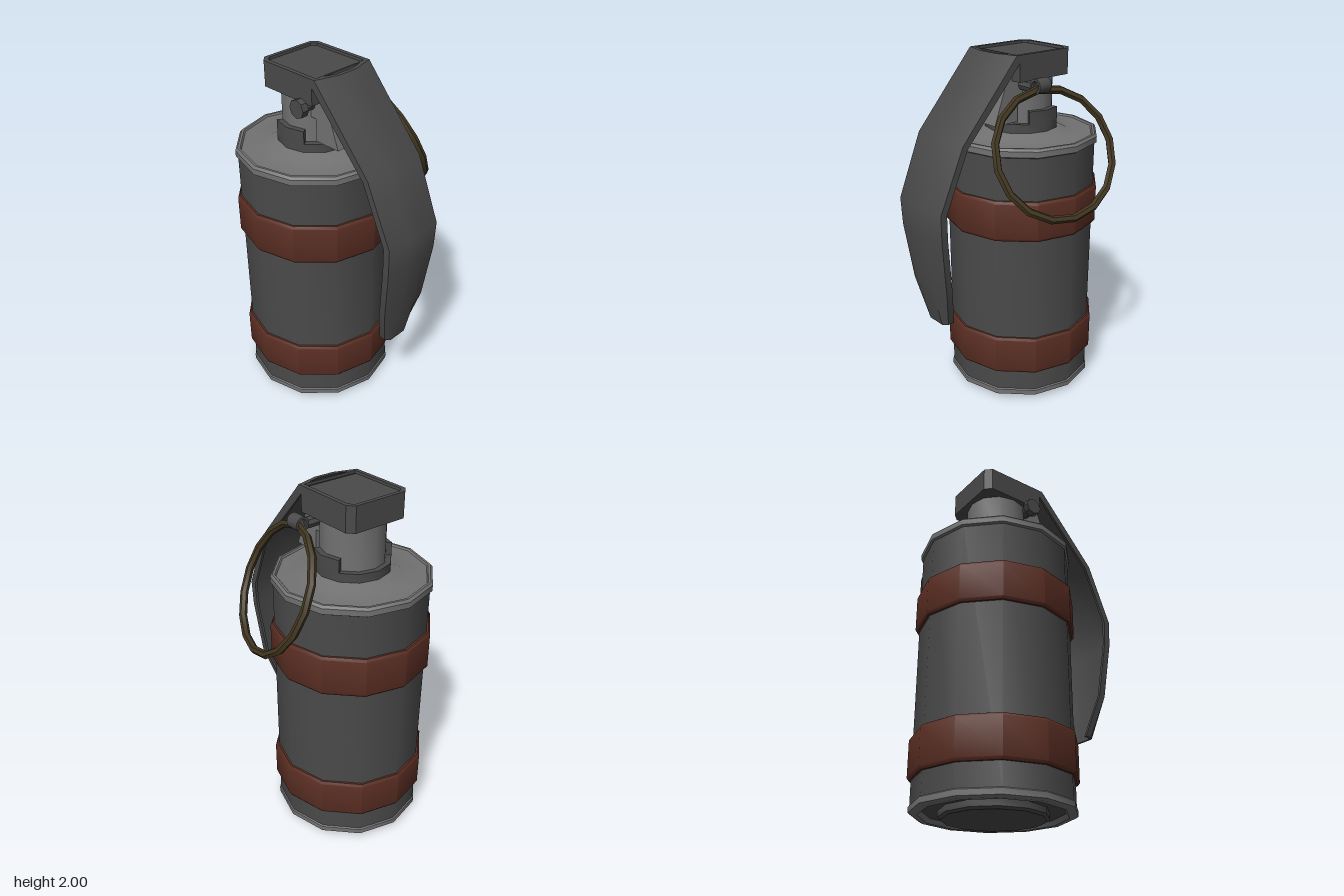
import * as THREE from 'three';
import { toCreasedNormals } from 'three/addons/utils/BufferGeometryUtils.js';

const CX = -0.072, CZ = -0.145; // axis of the canister

const mat = (name, color) => {
  const m = new THREE.MeshStandardMaterial({ color });
  m.name = name;
  return m;
};

export function createModel() {
  const dark = mat('dark grey', 0x4a4a4a);
  const light = mat('light grey', 0x727272);
  const rust = mat('rust band', 0x5a2e23);
  const bronze = mat('dark bronze', 0x40351f);
  const root = new THREE.Group();
  root.name = 'canister';

  const add = (name, geo, material, x = 0, y = 0, z = 0) => {
    const mesh = new THREE.Mesh(toCreasedNormals(geo, 0.6), material);
    mesh.name = name;
    mesh.position.set(x, y, z);
    root.add(mesh);
    return mesh;
  };
  // Twelve-sided turned part on the canister axis, profile as [radius, y] upwards
  const turned = (name, profile, material) =>
    add(name, new THREE.LatheGeometry(profile.map(p => new THREE.Vector2(...p)), 12), material, CX, 0, CZ);
  // Plan outline in [x, z], extruded upwards from y0
  const path = pts => pts.map(([x, z]) => new THREE.Vector2(x, -z));
  const plan = (pts, y0, h, hole) => {
    const shape = new THREE.Shape(path(pts));
    if (hole) shape.holes.push(new THREE.Path(path(hole)));
    return new THREE.ExtrudeGeometry(shape, { depth: h, bevelEnabled: false })
      .rotateX(-Math.PI / 2).translate(0, y0, 0);
  };

  // Canister body with its base and lid
  turned('body', [[0.425, 0.06], [0.425, 1.51]], dark);
  turned('baseRim', [[0.37, 0.045], [0.385, 0.02], [0.415, 0.02], [0.432, 0.03], [0.432, 0.06], [0.42, 0.07]], light);
  turned('baseRecess', [[0, 0.045], [0.375, 0.045]], dark);
  turned('baseDisc', [[0, 0], [0.27, 0], [0.285, 0.012], [0.285, 0.045]], dark);
  turned('lid', [[0.42, 1.495], [0.437, 1.505], [0.437, 1.537], [0.425, 1.55], [0.412, 1.55], [0.405, 1.54],
    [0.265, 1.54], [0.2, 1.575], [0, 1.575]], light);

  // Two bevelled bands
  for (const y of [0.19, 1.03]) {
    turned('band', [[0.42, y], [0.436, y], [0.446, y + 0.015], [0.446, y + 0.215],
      [0.436, y + 0.23], [0.42, y + 0.23]], rust);
  }

  // Neck, collar and the two raised collar tabs
  turned('neck', [[0.176, 1.56], [0.176, 1.87]], light);
  turned('collar', [[0.207, 1.55], [0.207, 1.62], [0.17, 1.62]], dark);
  for (const side of [-1, 1]) {
    const at = (r, deg) => {
      const a = THREE.MathUtils.degToRad(deg);
      return [side * r * Math.cos(a), r * Math.sin(a)];
    };
    add('collarTab', plan([at(0.15, -30), at(0.207, -30), at(0.207, 0), at(0.207, 30), at(0.15, 30)], 1.6, 0.09),
      dark, CX, 0, CZ);
  }

  // Bracket carrying the lever and the pin
  const bracket = new THREE.Shape([[0.05, 1.93], [0.157, 1.635], [0, 1.635], [0, 1.76], [-0.13, 1.76], [-0.13, 1.93]]
    .map(([z, y]) => new THREE.Vector2(-z, y)));
  add('bracket', new THREE.ExtrudeGeometry(bracket, { depth: 0.26, bevelEnabled: false })
    .rotateY(Math.PI / 2).translate(-0.13, 0, 0), light, CX);

  // Cap plate with a shallow framed recess on top
  const outline = (w, back, front, c) => [[-w, front], [w, front], [w, back + c], [w - c, back], [c - w, back], [-w, back + c]];
  const rimEdge = outline(0.192, -0.345, 0.04, 0.035);
  add('cap', plan(rimEdge, 1.86, 0.125), dark, CX);
  add('capRim', plan(outline(0.192, -0.345, 0.055, 0.035), 1.985, 0.015, outline(0.168, -0.323, 0.045, 0.025)), dark, CX);

  // Lever: stations of [outer z, y, half width, inward z, inward y]
  const stations = [
    [0.098, 2.0, 0.192, -1.5, 0], [0.44, 1.605, 0.192, -0.8, -0.5], [0.592, 1.255, 0.185, -1, -0.12],
    [0.588, 1.1, 0.18, -1, 0], [0.55, 0.77, 0.152, -1, 0.1], [0.495, 0.535, 0.08, -1, 0],
  ];
  const section = w => {
    const c = Math.min(0.06, w * 0.7), i = w - 0.015;
    return [[-w, 0.026], [-c, 0], [c, 0], [w, 0.026], [w, 0.065], [i, 0.065],
      [i, 0.038], [c * 0.9, 0.014], [-c * 0.9, 0.014], [-i, 0.038], [-i, 0.065], [-w, 0.065]];
  };
  const pos = [], idx = [], n = 12, last = (stations.length - 1) * n;
  stations.forEach(([z, y, w, dz, dy], s) => {
    section(w).forEach(([x, d], j) => {
      pos.push(x, y + d * dy, z + d * dz);
      if (s === 0) return;
      const a = (s - 1) * n + j, b = (s - 1) * n + (j + 1) % n;
      idx.push(a, a + n, b + n, a, b + n, b);
    });
  });
  const endFaces = w => THREE.ShapeUtils.triangulateShape(section(w).map(p => new THREE.Vector2(...p)), []);
  for (const [a, b, c] of endFaces(0.192)) idx.push(a, b, c);
  for (const [a, b, c] of endFaces(0.08)) idx.push(last + a, last + c, last + b);
  const lever = new THREE.BufferGeometry();
  lever.setAttribute('position', new THREE.Float32BufferAttribute(pos, 3));
  lever.setIndex(idx);
  add('lever', lever, dark, CX);

  // Safety pin: shaft, head and the strap-like eye
  const rod = (r, len) => new THREE.CylinderGeometry(r, r, len, 8).rotateZ(Math.PI / 2);
  add('pinShaft', rod(0.031, 0.46), dark, -0.05, 1.832, -0.035);
  add('pinHead', rod(0.05, 0.04), dark, -0.28, 1.832, -0.035);
  const eye = new THREE.Shape().absarc(0, 0, 0.04, 0, Math.PI * 2);
  eye.holes.push(new THREE.Path().absarc(0, 0, 0.026, 0, Math.PI * 2));
  add('pinEye', new THREE.ExtrudeGeometry(eye, { depth: 0.08, bevelEnabled: false, curveSegments: 8 }),
    dark, 0.198, 1.848, -0.075);

  // Pull ring hanging outwards from the eye
  const u = new THREE.Vector3(0.43, -0.903, 0).normalize();
  const v = new THREE.Vector3(0.19, 0.0905, -0.975).normalize();
  const tilt = new THREE.Matrix4().makeBasis(u, v, new THREE.Vector3().crossVectors(u, v));
  add('pullRing', new THREE.TorusGeometry(0.345, 0.022, 6, 16).applyMatrix4(tilt), bronze, 0.338, 1.515, -0.018);

  return root;
}
